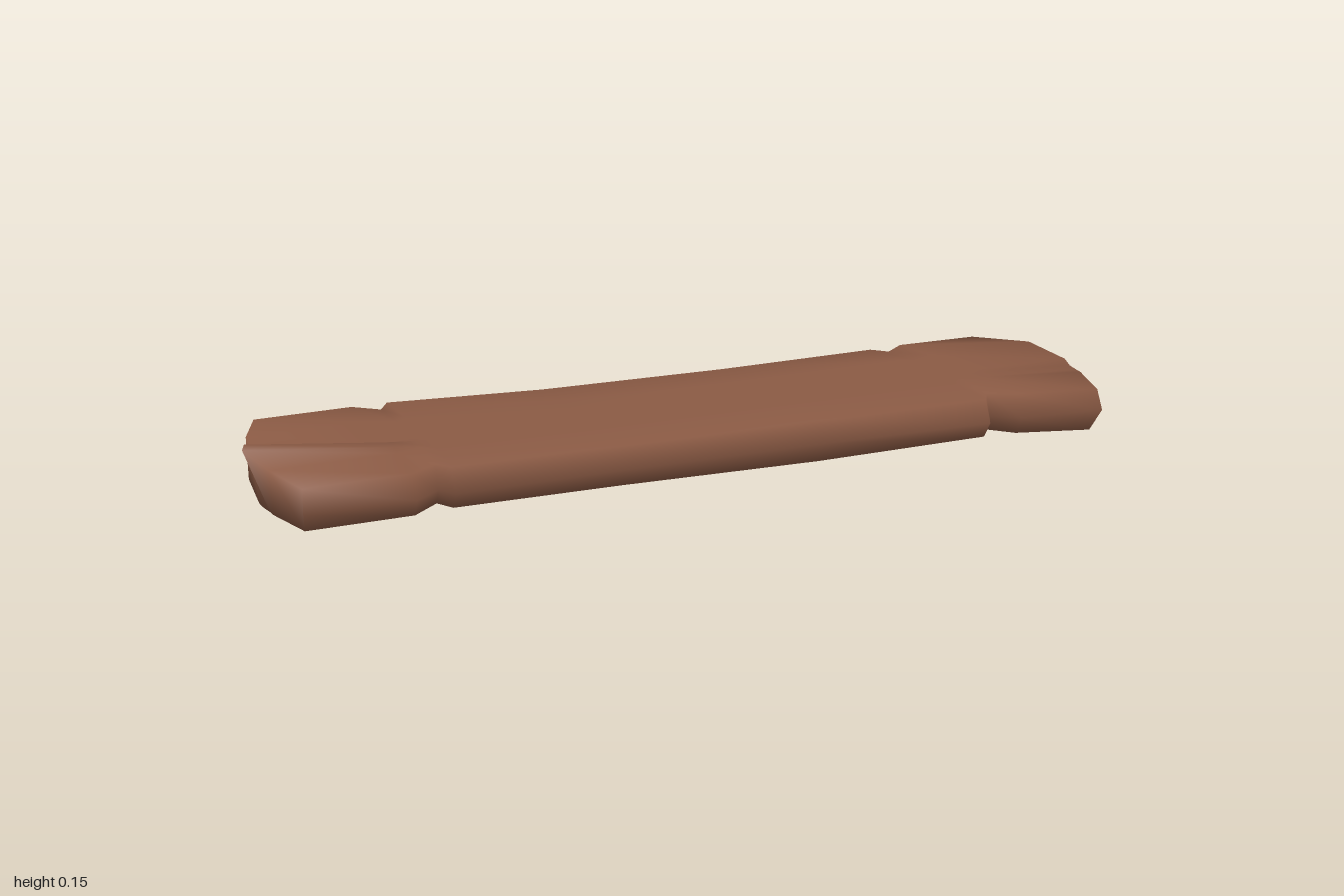
import * as THREE from 'three';

// Lengthwise stations: [x, back z, front z, top y, bottom y]
const STATIONS = [
  [-0.92, -0.28, 0.268, 0.108, 0.016],
  [-0.70, -0.284, 0.27, 0.111, 0.018],
  [-0.645, -0.235, 0.225, 0.111, 0.022],
  [-0.62, -0.284, 0.262, 0.112, 0.02],
  [-0.26, -0.262, 0.255, 0.108, 0.016],
  [0.20, -0.264, 0.258, 0.108, 0.01],
  [0.62, -0.276, 0.272, 0.112, 0.018],
  [0.65, -0.235, 0.225, 0.113, 0.02],
  [0.71, -0.282, 0.265, 0.114, 0.014],
  [0.92, -0.278, 0.283, 0.116, 0.008],
];
// Columns across the width, as fractions of the half width
const COLUMNS = [-0.97, -0.43, 0.16, 0.26, 0.4, 0.48, 0.92];
// Ragged ends: x of every column
const LEFT_TOP = [-0.915, -0.957, -0.965, -0.99, -1.0, -0.955, -0.915];
const LEFT_BOTTOM = [-0.915, -0.957, -0.965, -0.963, -0.955, -0.952, -0.915];
const RIGHT_TOP = [0.925, 0.995, 0.985, 0.98, 0.97, 0.965, 0.92];
const RIGHT_BOTTOM = [0.925, 0.985, 0.975, 0.965, 0.955, 0.95, 0.905];

function plankGeometry() {
  const n = COLUMNS.length, ring = 2 * n + 2, last = STATIONS.length - 1;
  const pos = [], index = [];

  STATIONS.forEach(([x, back, front, top, bottom], i) => {
    const zAt = (f) => (f < 0 ? -f * back : f * front);
    const columnX = (k, left, right) => (i === 0 ? left[k] : i === last ? right[k] : x);
    // top, from back to front, with the splinter rising at the left end
    COLUMNS.forEach((f, k) => {
      let y = top;
      if (k === 0 || k === n - 1) y -= 0.007;
      if (k === 3 || k === 4) y += i === 0 ? 0.041 : i === 1 ? 0.007 : 0;
      if (i === last && k === 1) y += 0.006;
      if (i === last && k > 2) y -= 0.01;
      pos.push(columnX(k, LEFT_TOP, RIGHT_TOP), y, zAt(f));
    });
    // bulging front edge
    pos.push(x, 0.055, front);
    // underside, from front to back
    for (let k = n - 1; k >= 0; k--) {
      let y = bottom;
      if (i === last) y = k === n - 1 ? 0.003 : k === 0 ? 0.012 : 0.02;
      pos.push(columnX(k, LEFT_BOTTOM, RIGHT_BOTTOM), y, zAt(COLUMNS[k]));
    }
    // back edge
    pos.push(x, 0.055, back);
  });

  // skin between neighbouring stations
  for (let i = 0; i < last; i++) {
    for (let j = 0; j < ring; j++) {
      const a = i * ring + j, b = i * ring + ((j + 1) % ring);
      index.push(a, b, b + ring, a, b + ring, a + ring);
    }
  }

  // end faces
  for (const [start, isLeft] of [[0, true], [last * ring, false]]) {
    const tri = (a, b, c) => index.push(start + a, start + (isLeft ? b : c), start + (isLeft ? c : b));
    const under = (k) => 2 * n - k;
    for (let k = 0; k < n - 1; k++) {
      tri(k, under(k), under(k + 1));
      tri(k, under(k + 1), k + 1);
    }
    tri(0, ring - 1, under(0));
    tri(n - 1, under(n - 1), n);
  }

  const geometry = new THREE.BufferGeometry();
  geometry.setAttribute('position', new THREE.Float32BufferAttribute(pos, 3));
  geometry.setIndex(index);
  geometry.computeVertexNormals();
  return geometry;
}

export function createModel() {
  const group = new THREE.Group();
  group.name = 'woodenPlank';
  const wood = new THREE.MeshStandardMaterial({ color: 0x8a5a44 });
  wood.name = 'brown wood';
  const plank = new THREE.Mesh(plankGeometry(), wood);
  plank.name = 'notchedPlank';
  group.add(plank);
  return group;
}
